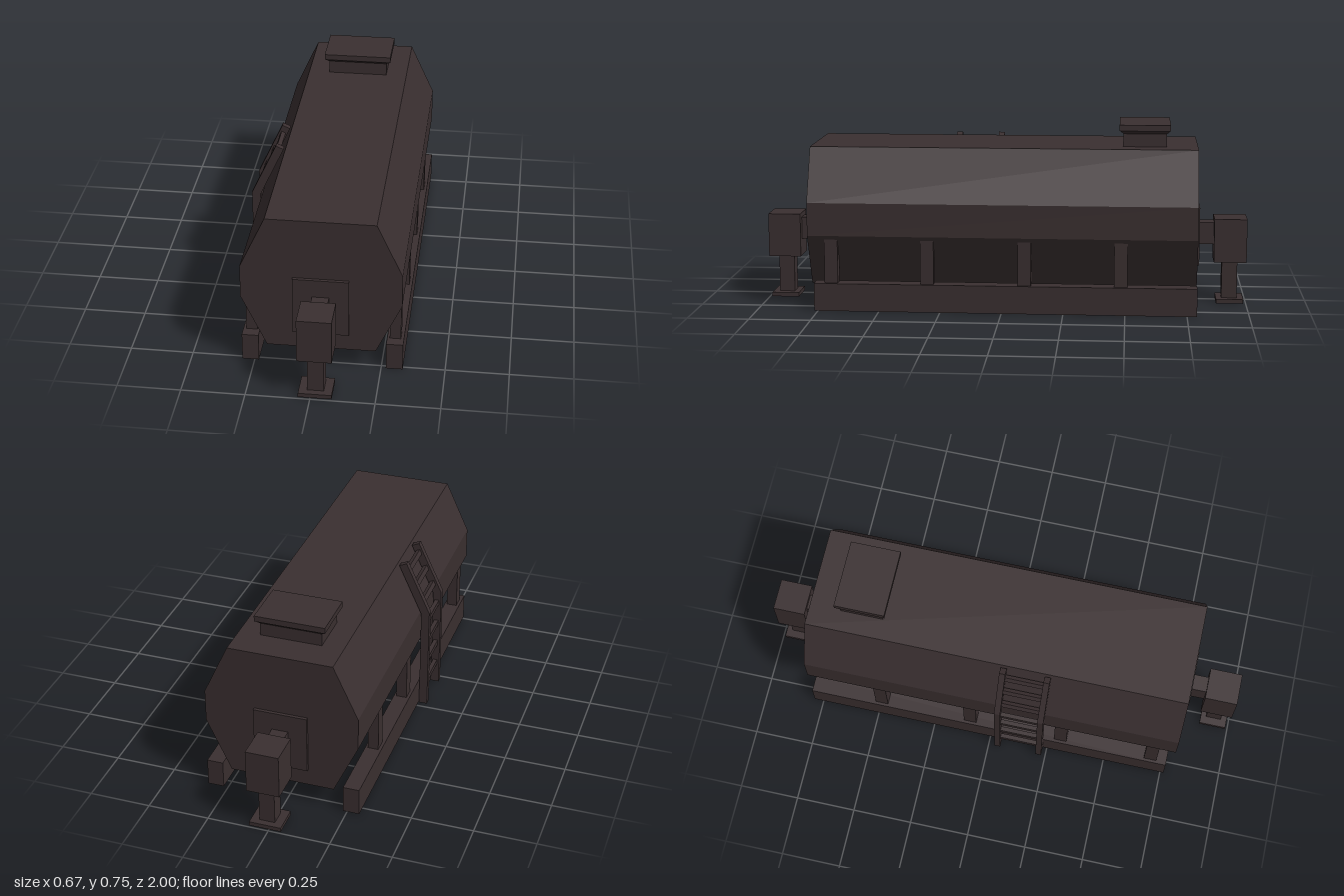
import * as THREE from 'three';

export function createModel() {
  const model = new THREE.Group();
  model.name = 'storageTank';
  const paint = new THREE.MeshStandardMaterial({ color: 0x3a2f30 });
  paint.name = 'dark brown paint';
  const cx = 0.0175; // tank centre line

  const add = (name, geometry, parent = model) => {
    const mesh = new THREE.Mesh(geometry, paint);
    mesh.name = name;
    parent.add(mesh);
    return mesh;
  };
  // box given by its limits on each axis
  const box = (name, x0, x1, y0, y1, z0, z1, parent) => {
    const mesh = add(name, new THREE.BoxGeometry(x1 - x0, y1 - y0, z1 - z0), parent);
    mesh.position.set((x0 + x1) / 2, (y0 + y1) / 2, (z0 + z1) / 2);
    return mesh;
  };
  // outline in x and y, extruded from z0 to z1
  const prism = (name, points, z0, z1, parent) => {
    const shape = new THREE.Shape(points.map(([x, y]) => new THREE.Vector2(x, y)));
    const geometry = new THREE.ExtrudeGeometry(shape, { depth: z1 - z0, bevelEnabled: false });
    geometry.translate(0, 0, z0);
    return add(name, geometry, parent);
  };

  // eight-sided tank body
  const half = [[0.2125, 0.095], [0.3125, 0.31], [0.3125, 0.445], [0.2125, 0.662]];
  const outline = [
    ...half.map(([x, y]) => [cx + x, y]),
    ...half.slice().reverse().map(([x, y]) => [cx - x, y]),
  ];
  prism('tankBody', outline, -0.79, 0.79);

  // skid rails and the posts that carry the tank
  for (const side of [-1, 1]) {
    const name = side > 0 ? 'left' : 'right';
    const span = (a, b) => (side > 0 ? [cx + a, cx + b] : [cx - b, cx - a]);
    box(name + 'SkidRail', ...span(0.251, 0.317), 0, 0.114, -0.79, 0.765);
    for (const z of [0.695, 0.303, -0.092, -0.482]) {
      box(name + 'SupportPost', ...span(0.261, 0.305), 0.11, 0.31, z - 0.027, z + 0.027);
    }
  }

  // coupling and support foot on each end
  for (const end of [1, -1]) {
    const group = new THREE.Group();
    group.name = end > 0 ? 'frontCoupling' : 'backCoupling';
    const part = (name, hx, y0, y1, z0, z1) =>
      box(name, cx - hx, cx + hx, y0, y1, Math.min(z0 * end, z1 * end), Math.max(z0 * end, z1 * end), group);
    part('endPlate', 0.109, 0.168, 0.41, 0.785, 0.803);
    part('couplingNeck', 0.033, 0.244, 0.336, 0.8, 0.87);
    part('couplingBlock', 0.067, 0.174, 0.355, 0.865, 1);
    part('footLeg', 0.032, 0.015, 0.176, 0.9, 0.964);
    part('footPad', 0.065, 0, 0.017, 0.877, 0.99);
    model.add(group);
  }

  // filling hatch: neck, flared collar and lid
  const hatch = new THREE.Group();
  hatch.name = 'hatch';
  model.add(hatch);
  box('hatchNeck', cx - 0.125, cx + 0.125, 0.65, 0.716, -0.662, -0.485, hatch);
  const flare = new THREE.BoxGeometry(0.284, 0.014, 0.206);
  const p = flare.attributes.position;
  for (let i = 0; i < p.count; i++) {
    if (p.getY(i) < 0) p.setXYZ(i, p.getX(i) * 0.88, p.getY(i), p.getZ(i) * 0.86);
  }
  flare.computeVertexNormals();
  add('hatchCollar', flare, hatch).position.set(cx, 0.722, -0.574);
  box('hatchLid', cx - 0.143, cx + 0.143, 0.728, 0.752, -0.678, -0.47, hatch);

  // bent ladder on the right side
  const ladder = new THREE.Group();
  ladder.name = 'ladder';
  model.add(ladder);
  const rail = [[-0.302, 0], [-0.302, 0.443], [-0.204, 0.656], [-0.235, 0.67], [-0.337, 0.45], [-0.337, 0]];
  prism('ladderRail', rail, 0.026, 0.051, ladder);
  prism('ladderRail', rail, 0.207, 0.232, ladder);
  const rung = (x, y, angle) => {
    const mesh = box('ladderRung', x - 0.009, x + 0.009, y - 0.011, y + 0.011, 0.045, 0.213, ladder);
    mesh.rotation.z = angle;
  };
  for (const y of [0.1, 0.2, 0.3, 0.4]) rung(-0.319, y, 0);
  for (const t of [0.2, 0.52, 0.84]) rung(-0.319 + 0.1 * t, 0.447 + 0.216 * t, -0.43);

  return model;
}
